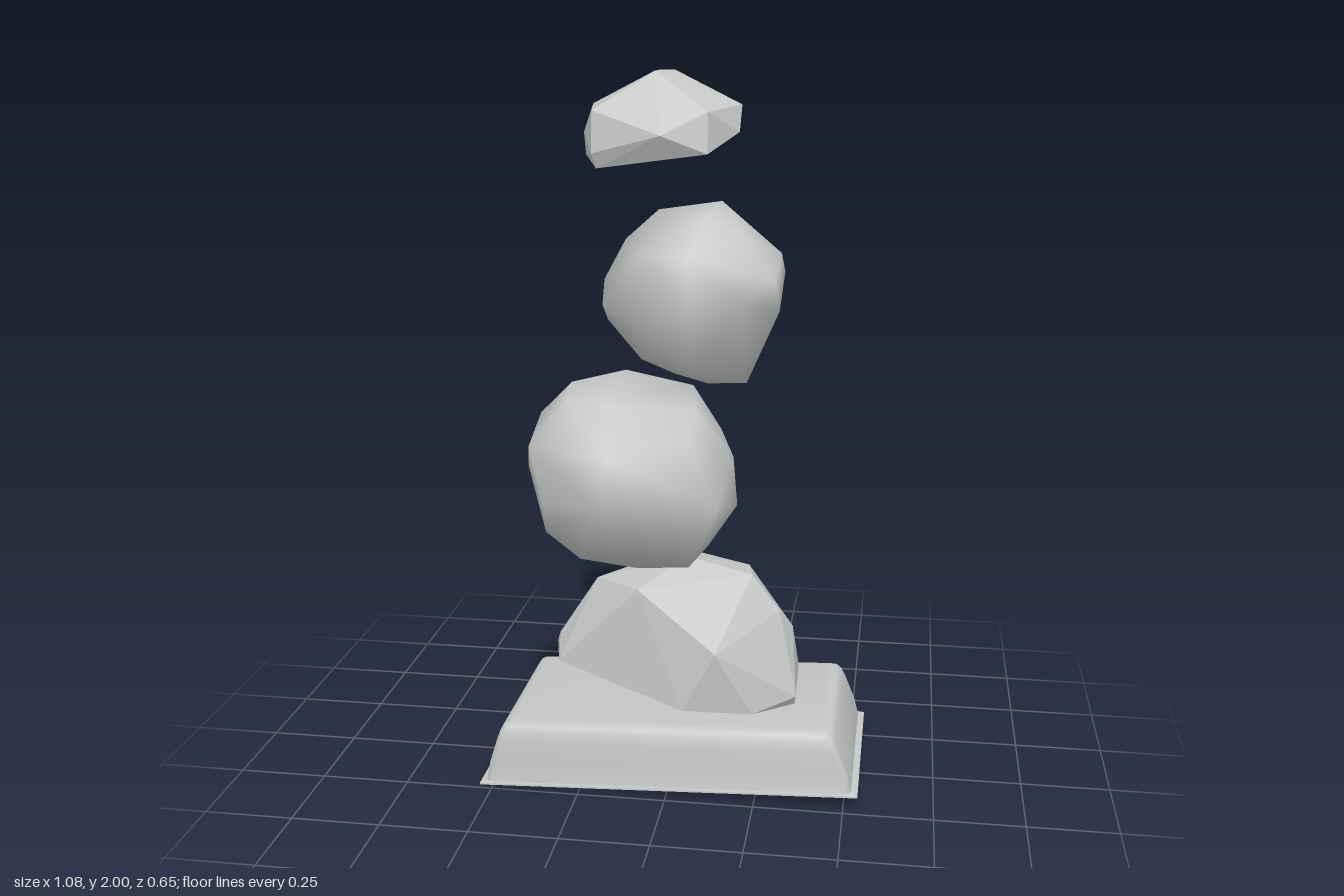
import * as THREE from 'three';
import { ConvexGeometry } from 'three/addons/geometries/ConvexGeometry.js';
import { mergeVertices, toCreasedNormals } from 'three/addons/utils/BufferGeometryUtils.js';

const stone = new THREE.MeshStandardMaterial({ name: 'stoneGrey', color: 0xc6c8c8 });

// A boulder is the hull of a few corner points; soft ones share their normals
function boulder(name, corners, soft) {
  const points = corners.map((c) => new THREE.Vector3(...c));
  let geometry = new ConvexGeometry(points);
  if (soft) {
    geometry.deleteAttribute('normal');
    geometry = mergeVertices(geometry, 1e-4);
    geometry.computeVertexNormals();
  }
  const mesh = new THREE.Mesh(geometry, stone);
  mesh.name = name;
  return mesh;
}

// Outline of a rectangle with rounded corners at height y
function ring([hx, hz, y], r) {
  const out = [];
  const signs = [[1, 1], [-1, 1], [-1, -1], [1, -1]];
  signs.forEach(([sx, sz], k) => {
    for (let j = 0; j < 4; j++) {
      const a = (k + j / 3) * Math.PI / 2;
      out.push([sx * (hx - r) + r * Math.cos(a), y, sz * (hz - r) + r * Math.sin(a)]);
    }
  });
  return out;
}

// Slab lofted through rounded rectangles, closed above and below
function slab(name, sections) {
  const rings = sections.map((s) => ring(s, s[2] < 0.009 ? 0.004 : 0.02));
  const n = rings[0].length;
  const position = rings.flat(2);
  const index = [];
  for (let s = 0; s < rings.length - 1; s++) {
    for (let i = 0; i < n; i++) {
      const a = s * n + i, b = s * n + (i + 1) % n;
      index.push(a, a + n, b, b, a + n, b + n);
    }
  }
  const top = (rings.length - 1) * n;
  for (let i = 1; i < n - 1; i++) {
    index.push(0, i, i + 1, top, top + i + 1, top + i);
  }
  const geometry = new THREE.BufferGeometry();
  geometry.setAttribute('position', new THREE.Float32BufferAttribute(position, 3));
  geometry.setIndex(index);
  const mesh = new THREE.Mesh(toCreasedNormals(geometry, 0.75), stone);
  mesh.name = name;
  return mesh;
}

export function createModel() {
  const group = new THREE.Group();
  group.name = 'balancedStones';

  // Tilted base slab with a thin flared rim
  const base = slab('baseSlab', [
    [0.54, 0.278, 0], [0.54, 0.278, 0.004], [0.522, 0.275, 0.01], [0.512, 0.272, 0.06],
    [0.488, 0.266, 0.13], [0.476, 0.262, 0.16], [0.466, 0.255, 0.174], [0.447, 0.24, 0.181],
  ]);
  base.position.set(0, 0.022, -0.045);
  base.rotation.z = 0.037;
  group.add(base);

  // Faceted wedge stone
  group.add(boulder('wedgeStone', [
    [-0.34, 0.39, 0.06], [-0.33, 0.42, 0.07], [-0.315, 0.37, 0.16], [-0.22, 0.59, 0.06],
    [-0.24, 0.43, -0.11], [0.05, 0.28, 0.25], [0.14, 0.45, 0.245], [-0.08, 0.61, 0.2],
    [0.03, 0.66, 0.04], [0.22, 0.61, 0.03], [0.2, 0.6, -0.08], [0, 0.635, -0.1],
    [0.05, 0.37, -0.205], [0.26, 0.4, -0.13], [0.35, 0.3, -0.07], [0.355, 0.28, 0.11],
    [0.35, 0.25, 0.09], [0.29, 0.235, 0.1], [0.3, 0.51, 0.04], [0.335, 0.45, 0],
    [0.1, 0.32, -0.14], [0.24, 0.26, 0.2], [-0.2, 0.385, -0.12],
  ], false));

  // Large rounded stone
  group.add(boulder('largeRoundStone', [
    [-0.41, 0.92, 0.08], [-0.405, 0.97, 0.09], [-0.365, 1.08, 0.1], [-0.28, 1.165, 0.08],
    [-0.14, 1.19, 0.02], [0.05, 1.155, 0.03], [0.13, 1.04, 0.05], [0.165, 0.96, 0.05],
    [0.18, 0.83, 0.08], [0.1, 0.71, 0.09], [0.05, 0.655, 0.12], [-0.1, 0.63, 0.08],
    [-0.25, 0.675, 0.15], [-0.34, 0.76, 0.18], [-0.17, 0.88, 0.325], [-0.15, 1.0, 0.29],
    [-0.16, 1.13, 0.2], [-0.33, 0.86, 0.25], [-0.378, 1.01, 0.2], [0.14, 0.86, 0.22],
    [-0.1, 0.73, 0.24], [0.06, 1.04, 0.19], [-0.32, 0.96, -0.09], [-0.15, 0.9, -0.135],
    [-0.1, 1.09, -0.1], [0.1, 0.88, -0.1], [-0.1, 0.7, -0.05], [-0.28, 0.8, -0.07],
    [0.07, 0.77, -0.06], [-0.27, 1.1, -0.05], [-0.28, 1.13, 0.17], [0.07, 1.11, 0.14],
  ], true));

  // Smaller rounded stone
  group.add(boulder('smallRoundStone', [
    [-0.195, 1.38, 0.07], [-0.19, 1.45, 0.06], [-0.13, 1.56, 0.06], [-0.04, 1.64, 0.06],
    [0.13, 1.665, 0.06], [0.29, 1.53, 0.06], [0.29, 1.38, 0.1], [0.29, 1.46, -0.07],
    [0.2, 1.173, 0.06], [0, 1.185, 0.03], [-0.09, 1.23, 0.06], [-0.18, 1.34, 0.07],
    [0.07, 1.4, 0.245], [0.06, 1.53, 0.22], [-0.06, 1.34, 0.205], [-0.07, 1.54, 0.19],
    [0.2, 1.42, 0.2], [0.07, 1.22, 0.19], [0.1, 1.63, 0.13], [0.24, 1.42, -0.12],
    [0.07, 1.53, -0.12], [0.06, 1.38, -0.135], [-0.1, 1.42, -0.1], [0.07, 1.24, -0.09],
    [0.2, 1.55, -0.08], [0.08, 1.625, -0.03], [0.19, 1.25, -0.06], [0.28, 1.47, 0.14],
    [0.1, 1.18, 0.11], [0.2, 1.58, 0.13],
  ], true));

  // Faceted top stone with a flat, tilted underside
  group.add(boulder('topStone', [
    [-0.245, 1.84, 0.04], [-0.235, 1.91, -0.04], [-0.05, 2.0, 0.06], [-0.05, 2.0, -0.03],
    [-0.01, 2.0, -0.03], [-0.02, 1.86, -0.165], [0.17, 1.91, -0.04], [0.17, 1.842, 0.02],
    [0.1, 1.9, 0.13], [0.1, 1.793, 0.145], [-0.02, 1.84, 0.165], [-0.21, 1.79, 0.125],
    [-0.2, 1.75, 0.11], [-0.24, 1.78, 0.04], [-0.21, 1.9, 0.11], [0.16, 1.86, -0.04],
    [-0.2, 1.82, -0.06],
  ], false));

  return group;
}
